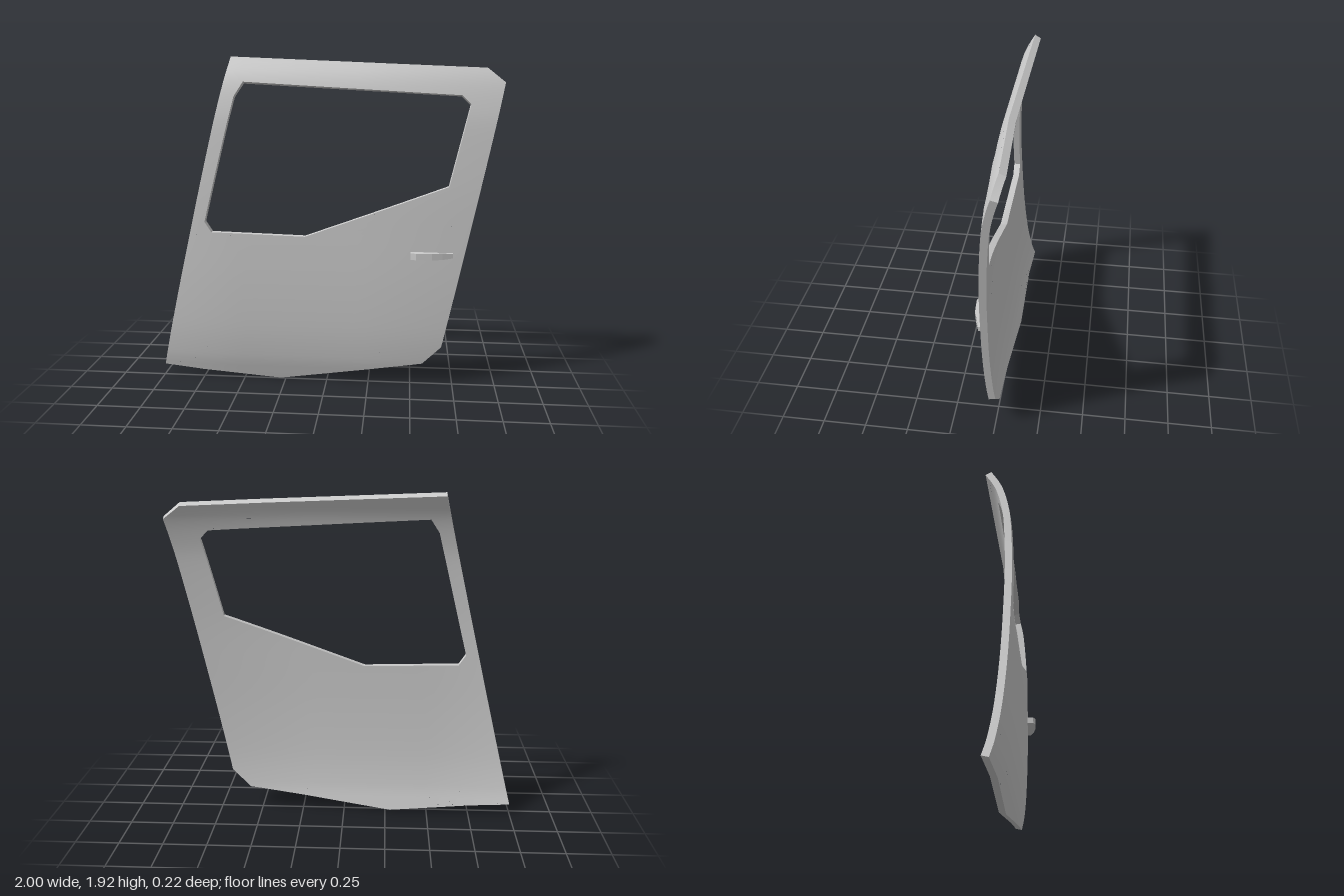
import * as THREE from 'three';
import { toCreasedNormals } from 'three/addons/utils/BufferGeometryUtils.js';

const THICKNESS = 0.038;

// Door outline and window opening, front elevation (x, y)
const OUTLINE = [[-1, 0.06], [-0.28, 0], [0.57, 0.13], [0.68, 0.24], [1, 1.78], [0.9, 1.86], [-0.56, 1.92]];
const WINDOW = [[-0.67, 0.915], [-0.12, 0.9], [0.7, 1.2], [0.81, 1.66], [0.76, 1.71], [-0.48, 1.78], [-0.53, 1.7], [-0.71, 0.975]];

// Vertical bow of the outer skin, as (y, z)
const BOW = new THREE.SplineCurve([
  [-0.06, -0.022], [0, -0.004], [0.06, 0.012], [0.15, 0.033], [0.33, 0.055], [0.6, 0.068], [0.9, 0.071],
  [1.2, 0.068], [1.5, 0.052], [1.65, 0.032], [1.8, -0.008], [1.92, -0.07], [2, -0.118],
].map(([y, z]) => new THREE.Vector2(y, z))).getPoints(96);

function skinZ(x, y) {
  let k = 1;
  while (k < BOW.length - 1 && BOW[k].x < y) k++;
  const a = BOW[k - 1], b = BOW[k];
  const bow = a.y + (b.y - a.y) * (y - a.x) / (b.x - a.x);
  // both side edges fall back slightly
  return bow - 0.07 * Math.max(0, x - 0.2) ** 2 - 0.12 * Math.max(0, -x - 0.5) ** 2;
}

function skinNormal(x, y) {
  const e = 0.03;
  return new THREE.Vector3(
    (skinZ(x - e, y) - skinZ(x + e, y)) / (2 * e),
    (skinZ(x, y - e) - skinZ(x, y + e)) / (2 * e), 1).normalize();
}

const outer = ([x, y]) => new THREE.Vector3(x, y, skinZ(x, y));
const inner = (p) => outer(p).addScaledVector(skinNormal(...p), -THICKNESS);

function geometryFrom(points, normals) {
  const g = new THREE.BufferGeometry().setFromPoints(points);
  if (normals) g.setAttribute('normal', new THREE.Float32BufferAttribute(normals.flatMap((n) => n.toArray()), 3));
  else g.computeVertexNormals();
  return g;
}

// Cuts the door into horizontal bands, returning skins and the walls joining them
function buildDoor() {
  const edges = [OUTLINE, WINDOW].flatMap((loop) => loop.map((p, i) => [p, loop[(i + 1) % loop.length]]));
  const levels = [...OUTLINE, ...WINDOW].map((p) => p[1]);
  for (let y = 0.04; y < 1.9; y += 0.04) levels.push(y);
  levels.sort((a, b) => a - b);
  const xAt = ([a, b], y) => a[0] + (b[0] - a[0]) * (y - a[1]) / (b[1] - a[1]);

  const skin = [], skinNormals = [], rim = [];
  const quad = (list, a, b, c, d) => list.push(a, b, c, a, c, d);
  for (let i = 1; i < levels.length; i++) {
    const y0 = levels[i - 1], y1 = levels[i], mid = (y0 + y1) / 2;
    if (y1 - y0 < 1e-5) continue;
    const hits = edges
      .filter(([a, b]) => (a[1] < mid) !== (b[1] < mid))
      .sort((e, f) => xAt(e, mid) - xAt(f, mid));
    for (let h = 0; h + 1 < hits.length; h += 2) {
      const [L, R] = [hits[h], hits[h + 1]];
      const at = (y, t) => [THREE.MathUtils.lerp(xAt(L, y), xAt(R, y), t), y];
      const columns = Math.max(2, Math.ceil((xAt(R, mid) - xAt(L, mid)) / 0.08));
      for (let c = 0; c < columns; c++) {
        const t0 = c / columns, t1 = (c + 1) / columns;
        const q = [at(y0, t0), at(y0, t1), at(y1, t1), at(y1, t0)];
        const n = q.map((p) => skinNormal(...p));
        quad(skin, ...q.map(outer));
        quad(skinNormals, ...n);
        quad(skin, ...q.map(inner).reverse());
        quad(skinNormals, ...n.map((v) => v.clone().negate()).reverse());
      }
      const l0 = at(y0, 0), l1 = at(y1, 0), r0 = at(y0, 1), r1 = at(y1, 1);
      quad(rim, inner(l0), outer(l0), outer(l1), inner(l1));
      quad(rim, outer(r0), inner(r0), inner(r1), outer(r1));
    }
  }
  return { skin: geometryFrom(skin, skinNormals), rim: toCreasedNormals(geometryFrom(rim), 0.4) };
}

// Pull handle: plan profile (x, z) extruded downwards
function buildHandle() {
  const plan = new THREE.Shape([[0.49, 0.05], [0.73, 0.035], [0.73, 0.07], [0.67, 0.09], [0.61, 0.106], [0.52, 0.112], [0.49, 0.1]]
    .map(([x, z]) => new THREE.Vector2(x, z)));
  const g = new THREE.ExtrudeGeometry(plan, { depth: 0.038, bevelEnabled: false });
  g.rotateX(Math.PI / 2).translate(0, 0.823, 0);
  // taper the height towards the free end
  const p = g.attributes.position;
  for (let i = 0; i < p.count; i++) {
    if (p.getX(i) > 0.7) p.setY(i, 0.804 + (p.getY(i) - 0.804) * 0.7);
  }
  g.computeVertexNormals();
  return g;
}

export function createModel() {
  const group = new THREE.Group();
  group.name = 'door';
  const material = new THREE.MeshStandardMaterial({ color: 0xcccccc });
  const add = (name, geometry) => {
    const mesh = new THREE.Mesh(geometry, material);
    mesh.name = name;
    group.add(mesh);
  };
  const { skin, rim } = buildDoor();
  add('doorPanel', skin);
  add('doorEdges', rim);
  add('doorHandle', buildHandle());
  return group;
}
